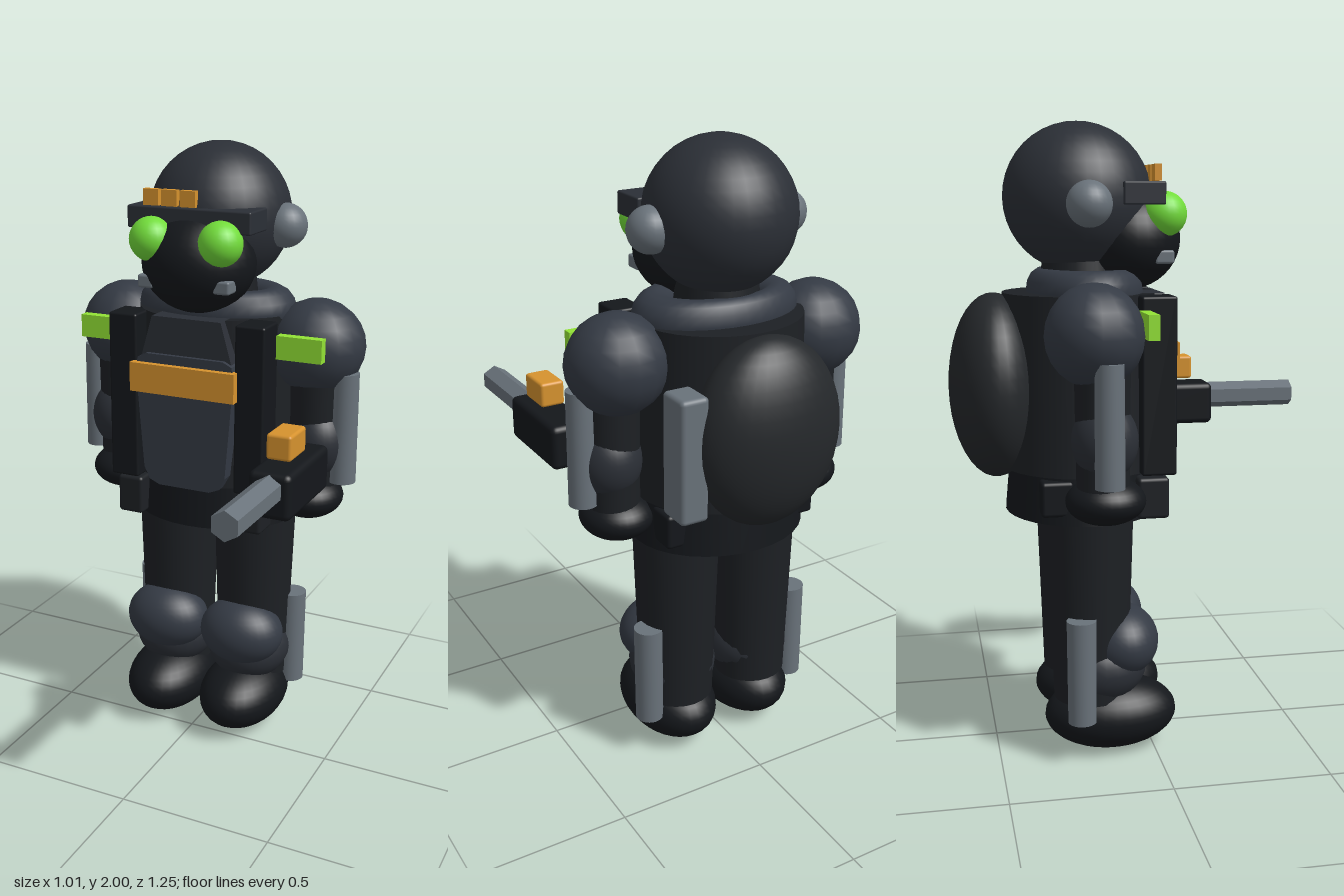
import * as THREE from 'three';
import { RoundedBoxGeometry } from 'three/addons/geometries/RoundedBoxGeometry.js';

const COLORS = {
  helmet: 0x2b2f36, black: 0x14171b, cloth: 0x1d2024, armor: 0x343a44,
  pack: 0x25282b, metal: 0x69727a, lens: 0x72dc3a, patch: 0x93e335, orange: 0xd6922e,
};

export function createModel() {
  const group = new THREE.Group();
  const mats = {};
  for (const key in COLORS) mats[key] = new THREE.MeshStandardMaterial({ color: COLORS[key] });

  const add = (name, geometry, color, pos = [0, 0, 0]) => {
    const mesh = new THREE.Mesh(geometry, mats[color]);
    mesh.name = name;
    mesh.position.set(...pos);
    group.add(mesh);
    return mesh;
  };
  const ball = (name, color, pos, radii, ws = 32, hs = 20) =>
    add(name, new THREE.SphereGeometry(1, ws, hs).scale(...radii), color, pos);
  const box = (name, color, pos, size, r = 0) =>
    add(name, r ? new RoundedBoxGeometry(...size, 3, r) : new THREE.BoxGeometry(...size), color, pos);
  const tube = (name, color, pos, rTop, rBottom, h, sides = 24, zScale = 1) =>
    add(name, new THREE.CylinderGeometry(rTop, rBottom, h, sides).scale(1, 1, zScale), color, pos);
  // flat plate from half an outline, mirrored over x = 0
  const plate = (name, color, half, z, depth) => {
    const pts = [...half, ...half.map(([x, y]) => [-x, y]).reverse()].map((p) => new THREE.Vector2(...p));
    return add(name, new THREE.ExtrudeGeometry(new THREE.Shape(pts), { depth, bevelEnabled: false }), color, [0, 0, z]);
  };

  // Head
  ball('helmet', 'helmet', [0, 1.768, -0.21], [0.23, 0.232, 0.234]);
  ball('faceMask', 'black', [0, 1.64, -0.05], [0.185, 0.16, 0.167]);
  box('browBand', 'helmet', [0, 1.78, -0.033], [0.42, 0.07, 0.13], 0.006);
  for (const x of [-0.128, -0.065, -0.002]) box('browTab', 'orange', [x, 1.842, 0.018], [0.053, 0.05, 0.022]);

  // Trunk
  tube('neck', 'cloth', [0, 1.52, -0.2], 0.12, 0.14, 0.16);
  tube('torso', 'cloth', [0, 1.2, -0.205], 0.265, 0.28, 0.55, 32, 0.93);
  tube('skirt', 'black', [0, 0.855, -0.205], 0.27, 0.287, 0.155, 32, 0.86);
  add('collar', new THREE.TorusGeometry(0.2, 0.07, 14, 36).rotateX(Math.PI / 2).scale(1, 1, 0.68), 'armor', [0, 1.48, -0.19]);
  plate('upperChest', 'helmet', [[0.17, 1.3], [0.12, 1.475]], -0.03, 0.075);
  plate('chestPlate', 'armor',
    [[0.09, 0.915], [0.125, 0.93], [0.145, 0.97], [0.172, 1.3], [0.165, 1.34], [0.135, 1.355]], -0.03, 0.09);
  box('chestBand', 'orange', [0, 1.278, 0.065], [0.365, 0.095, 0.035]);

  // Backpack with side canister
  ball('backpack', 'pack', [0, 1.182, -0.48], [0.242, 0.293, 0.145]);
  box('packCanister', 'metal', [0.255, 1.148, -0.452], [0.092, 0.385, 0.115], 0.015);

  // Mirrored parts
  for (const s of [1, -1]) {
    ball('earCup', 'metal', [s * 0.228, 1.748, -0.205], [0.07, 0.07, 0.07], 24, 16);
    ball('goggleLens', 'lens', [s * 0.118, 1.717, 0.045], [0.07, 0.07, 0.07], 24, 16);
    box('maskFilter', 'metal', [s * 0.13, 1.587, 0.04], [0.055, 0.042, 0.06], 0.008);

    box('vestStrap', 'black', [s * 0.222, 1.2, 0.0], [0.1, 0.55, 0.11], 0.008);
    box('frontPouch', 'cloth', [s * 0.215, 0.85, -0.015], [0.09, 0.13, 0.1], 0.012);
    box('backPouch', 'black', [s * 0.215, 0.86, -0.315], [0.1, 0.11, 0.1], 0.012);

    // Arm
    ball('shoulderPad', 'armor', [s * 0.345, 1.37, -0.21], [0.158, 0.155, 0.15], 16, 12);
    box('shoulderPatch', 'patch', [s * 0.35, 1.397, -0.048], [0.15, 0.075, 0.034]);
    tube('arm', 'cloth', [s * 0.355, 1.13, -0.19], 0.085, 0.08, 0.44);
    ball('forearm', 'helmet', [s * 0.365, 1.06, -0.185], [0.1, 0.12, 0.1]);
    tube('forearmGuard', 'metal', [s * 0.455, 1.118, -0.185], 0.043, 0.045, 0.365);
    ball('glove', 'black', [s * 0.343, 0.873, -0.18], [0.115, 0.073, 0.122]);

    // Leg
    tube('leg', 'cloth', [s * 0.144, 0.5, -0.2], 0.14, 0.12, 0.64);
    ball('kneePad', 'armor', [s * 0.143, 0.36, -0.1], [0.147, 0.115, 0.12]);
    ball('shinGuard', 'helmet', [s * 0.143, 0.28, -0.17], [0.142, 0.12, 0.15], 24, 14);
    ball('boot', 'black', [s * 0.142, 0.117, -0.135], [0.144, 0.117, 0.215]);
    tube('calfGuard', 'metal', [s * 0.272, 0.307, -0.247], 0.047, 0.045, 0.335);
  }

  // Hand-held launcher on the left
  box('launcherBody', 'black', [0.403, 1.043, 0.155], [0.135, 0.145, 0.33], 0.02);
  const barrel = tube('launcherBarrel', 'metal', [0.403, 1.065, 0.465], 0.046, 0.046, 0.32, 6);
  barrel.geometry.rotateX(Math.PI / 2);
  barrel.material = mats.metal.clone();
  barrel.material.flatShading = true;
  box('launcherSight', 'orange', [0.403, 1.172, 0.187], [0.08, 0.08, 0.125], 0.01);

  return group;
}
